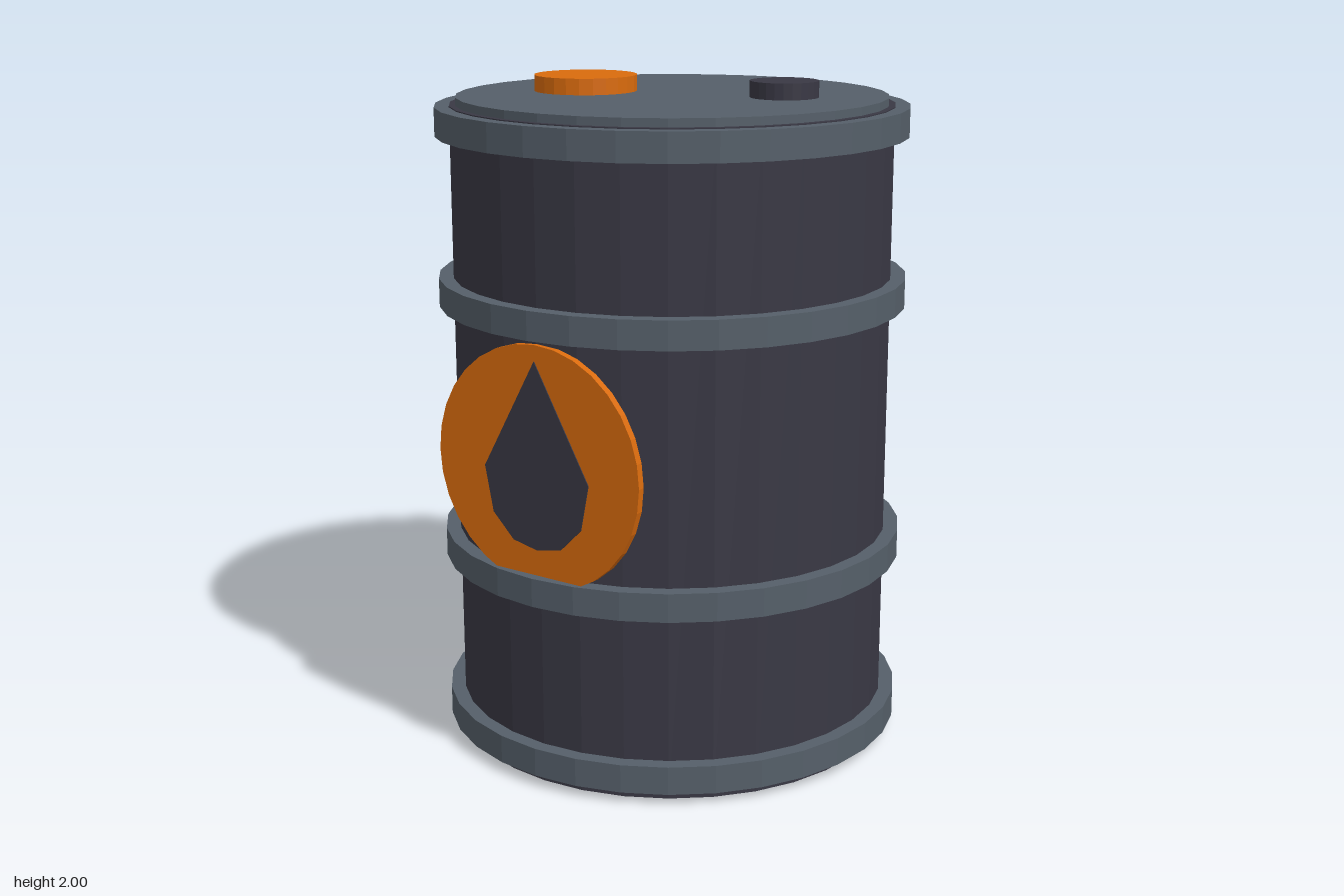
import * as THREE from 'three';

const flat = (name, color) => {
  const m = new THREE.MeshStandardMaterial({ color, flatShading: true });
  m.name = name;
  return m;
};

export function createModel() {
  const charcoal = flat('charcoal', 0x393844);
  const steel = flat('steel', 0x555f69);
  const orange = flat('orange', 0xd96b0d);
  const group = new THREE.Group();
  group.name = 'barrel';

  const add = (name, geometry, material) => {
    const mesh = new THREE.Mesh(geometry, material);
    mesh.name = name;
    group.add(mesh);
    return mesh;
  };

  // Upright disc or drum between two heights
  const drum = (name, radius, y0, y1, material, segments = 32, x = 0, z = 0) =>
    add(name, new THREE.CylinderGeometry(radius, radius, y1 - y0, segments), material)
      .position.set(x, (y0 + y1) / 2, z);

  drum('body', 0.659, 0, 1.928, charcoal);
  drum('lid', 0.64, 1.92, 1.952, steel);

  // Reinforcing hoops, open in the middle
  const hoop = new THREE.Shape();
  const hole = new THREE.Path();
  for (let i = 0; i < 32; i++) {
    const a = (i / 32) * Math.PI * 2;
    const step = i ? 'lineTo' : 'moveTo';
    hoop[step](Math.cos(a) * 0.703, Math.sin(a) * 0.703);
    hole[step](Math.cos(a) * 0.65, Math.sin(a) * 0.65);
  }
  hoop.holes.push(hole);
  const hoopGeometry = new THREE.ExtrudeGeometry(hoop, { depth: 0.085, bevelEnabled: false });
  hoopGeometry.rotateX(-Math.PI / 2);
  [0.033, 0.558, 1.336, 1.84].forEach((y, i) => {
    add(`hoop${i + 1}`, hoopGeometry, steel).position.y = y;
  });

  // Caps on the lid
  drum('largeCap', 0.155, 1.94, 2, orange, 24, -0.275, 0.06);
  drum('smallCap', 0.101, 1.94, 2, charcoal, 24, 0.32, -0.11);

  // Round badge standing flat against the front
  const badge = new THREE.CylinderGeometry(0.356, 0.356, 0.022, 32);
  badge.rotateX(Math.PI / 2);
  add('badge', badge, orange).position.set(0, 0.963, 0.661);

  // Droplet plate on the badge
  const half = [[0.185, 0.943], [0.157, 0.808], [0.085, 0.737]];
  const outline = [[0, 1.272], ...half.map(([x, y]) => [-x, y]), [0, 0.72], ...half.slice().reverse()];
  const drop = new THREE.Shape(outline.map(([x, y]) => new THREE.Vector2(x, y)));
  add('droplet', new THREE.ExtrudeGeometry(drop, { depth: 0.005, bevelEnabled: false }), charcoal)
    .position.z = 0.67;

  return group;
}
